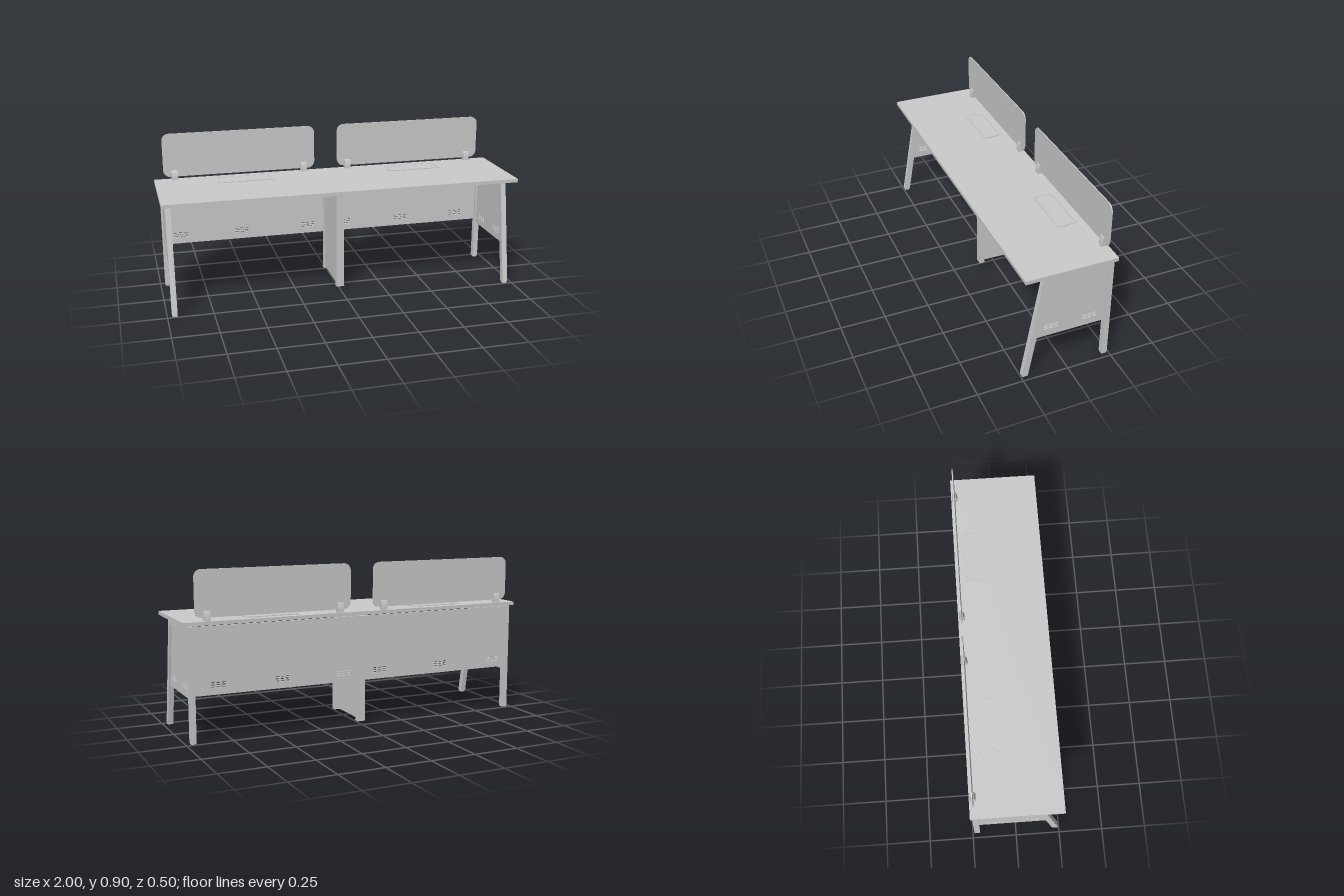
import * as THREE from 'three';

const grey = new THREE.MeshStandardMaterial({ color: 0xcccccc, side: THREE.DoubleSide });

function add(parent, name, geometry, x = 0, y = 0, z = 0) {
  const m = new THREE.Mesh(geometry, grey);
  m.name = name;
  m.position.set(x, y, z);
  parent.add(m);
  return m;
}

// Box given by its limits on each axis
function block(parent, name, [x0, x1], [y0, y1], [z0, z1]) {
  return add(parent, name, new THREE.BoxGeometry(x1 - x0, y1 - y0, z1 - z0),
    (x0 + x1) / 2, (y0 + y1) / 2, (z0 + z1) / 2);
}

const poly = pts => new THREE.Shape(pts.map(p => new THREE.Vector2(...p)));

function roundRect(x0, x1, y0, y1, r) {
  const s = new THREE.Shape();
  s.absarc(x1 - r, y0 + r, r, -Math.PI / 2, 0);
  s.absarc(x1 - r, y1 - r, r, 0, Math.PI / 2);
  s.absarc(x0 + r, y1 - r, r, Math.PI / 2, Math.PI);
  s.absarc(x0 + r, y0 + r, r, Math.PI, Math.PI * 1.5);
  s.closePath();
  return s;
}

// Extrusion centred on its own depth
function slab(shape, depth) {
  const g = new THREE.ExtrudeGeometry(shape, { depth, bevelEnabled: false, curveSegments: 8 });
  return g.translate(0, 0, -depth / 2);
}

// Profile drawn in (z, y), extruded along x
const sideSlab = (shape, depth) => slab(shape, depth).rotateY(-Math.PI / 2);

// 3 x 3 group of ventilation slots
function cutVents(shape, cx, cy) {
  for (let row = -1; row <= 1; row++) {
    for (let col = -1; col <= 1; col++) {
      const x = cx + col * 0.029 + (row === 0 ? 0.003 : 0), y = cy + row * 0.0115;
      shape.holes.push(roundRect(x - 0.0115, x + 0.0115, y - 0.003, y + 0.003, 0.0025));
    }
  }
}

// End frame: splayed front leg, top rail, upright back leg and slotted panel
function endFrame(side) {
  const g = new THREE.Group();
  g.name = side > 0 ? 'leftEndFrame' : 'rightEndFrame';
  const x = side * 0.96;
  add(g, 'legFrame', sideSlab(poly([
    [0.246, 0.008], [0.14, 0.61], [-0.24, 0.61], [-0.24, 0.008],
    [-0.208, 0.008], [-0.208, 0.576], [0.111, 0.576], [0.213, 0.008],
  ]), 0.03), x);
  const panel = poly([[-0.209, 0.23], [0.175, 0.23], [0.112, 0.577], [-0.209, 0.577]]);
  cutVents(panel, 0.088, 0.284);
  cutVents(panel, -0.125, 0.284);
  add(g, 'sidePanel', sideSlab(panel, 0.01), x);
  for (const z of [0.23, -0.224]) {
    block(g, 'footPad', [x - 0.013, x + 0.013], [0, 0.009], [z - 0.014, z + 0.014]);
  }
  return g;
}

// Central support: two posts, infill panel, top rail
function centreSupport() {
  const g = new THREE.Group();
  g.name = 'centreSupport';
  block(g, 'frontPost', [-0.022, 0.022], [0.025, 0.61], [0.067, 0.094]);
  block(g, 'backPost', [-0.022, 0.022], [0.025, 0.61], [-0.24, -0.208]);
  block(g, 'infillPanel', [-0.018, 0.018], [0.035, 0.59], [-0.21, 0.068]);
  block(g, 'topRail', [-0.016, 0.016], [0.58, 0.612], [-0.208, 0.18]);
  for (const z of [0.08, -0.225]) {
    block(g, 'footPad', [-0.023, 0.023], [0.019, 0.025], [z - 0.016, z + 0.016]);
  }
  return g;
}

// Slotted back panel with the stiffening beam on its front
function backPanel(side) {
  const g = new THREE.Group();
  g.name = side > 0 ? 'leftBackPanel' : 'rightBackPanel';
  const [x0, x1] = side > 0 ? [0.022, 0.946] : [-0.946, -0.022];
  const panel = poly([[x0, 0.25], [x1, 0.25], [x1, 0.61], [x0, 0.61]]);
  for (const x of side > 0 ? [0.105, 0.462, 0.818] : [-0.867, -0.512, -0.117]) cutVents(panel, x, 0.301);
  add(g, 'modestyPanel', slab(panel, 0.01), 0, 0, -0.23);
  block(g, 'beam', [x0 + 0.003, x1 - 0.003], [0.495, 0.548], [-0.226, -0.205]);
  return g;
}

// Rounded desk screen on two tapered clamps
function deskScreen(x0, x1, clamps) {
  const g = new THREE.Group();
  g.name = 'deskScreen';
  add(g, 'screen', slab(roundRect(x0, x1, 0.652, 0.9, 0.04), 0.006), 0, 0, -0.227);
  const profile = new THREE.Shape();
  profile.moveTo(-0.243, 0.634);
  profile.lineTo(-0.211, 0.634);
  profile.quadraticCurveTo(-0.212, 0.67, -0.221, 0.689);
  profile.lineTo(-0.233, 0.689);
  profile.quadraticCurveTo(-0.242, 0.67, -0.243, 0.634);
  for (const x of clamps) add(g, 'screenClamp', sideSlab(profile, 0.034), x);
  return g;
}

// Cable flap: raised rim around a lid
function cableFlap(x) {
  const g = new THREE.Group();
  g.name = 'cableFlap';
  const rim = (inset) => poly([
    [-0.148 + inset, 0.2 - inset], [0.148 - inset, 0.2 - inset],
    [0.16 - inset, 0.105], [0.155 - inset, 0.089 + inset], [0.148 - inset, 0.085 + inset],
    [-0.148 + inset, 0.085 + inset], [-0.155 + inset, 0.089 + inset], [-0.16 + inset, 0.105],
  ]);
  const outer = rim(0);
  outer.holes.push(rim(0.012));
  add(g, 'flapRim', slab(outer, 0.006).rotateX(-Math.PI / 2), x, 0.636, 0);
  add(g, 'flapLid', slab(rim(0.014), 0.004).rotateX(-Math.PI / 2), x, 0.636, 0);
  return g;
}

export function createModel() {
  const model = new THREE.Group();
  model.name = 'doubleDesk';
  block(model, 'desktop', [-1, 1], [0.615, 0.635], [-0.248, 0.25]);
  // Hidden spacers that carry the top on the frames
  for (const x of [-0.96, 0, 0.96]) {
    for (const z of [-0.19, 0.09]) block(model, 'spacer', [x - 0.01, x + 0.01], [0.608, 0.616], [z - 0.01, z + 0.01]);
  }
  for (const side of [-1, 1]) {
    model.add(endFrame(side), backPanel(side), cableFlap(side * 0.5));
  }
  model.add(centreSupport());
  model.add(deskScreen(-0.948, -0.075, [-0.885, -0.14]));
  model.add(deskScreen(0.062, 0.936, [0.125, 0.872]));
  return model;
}
